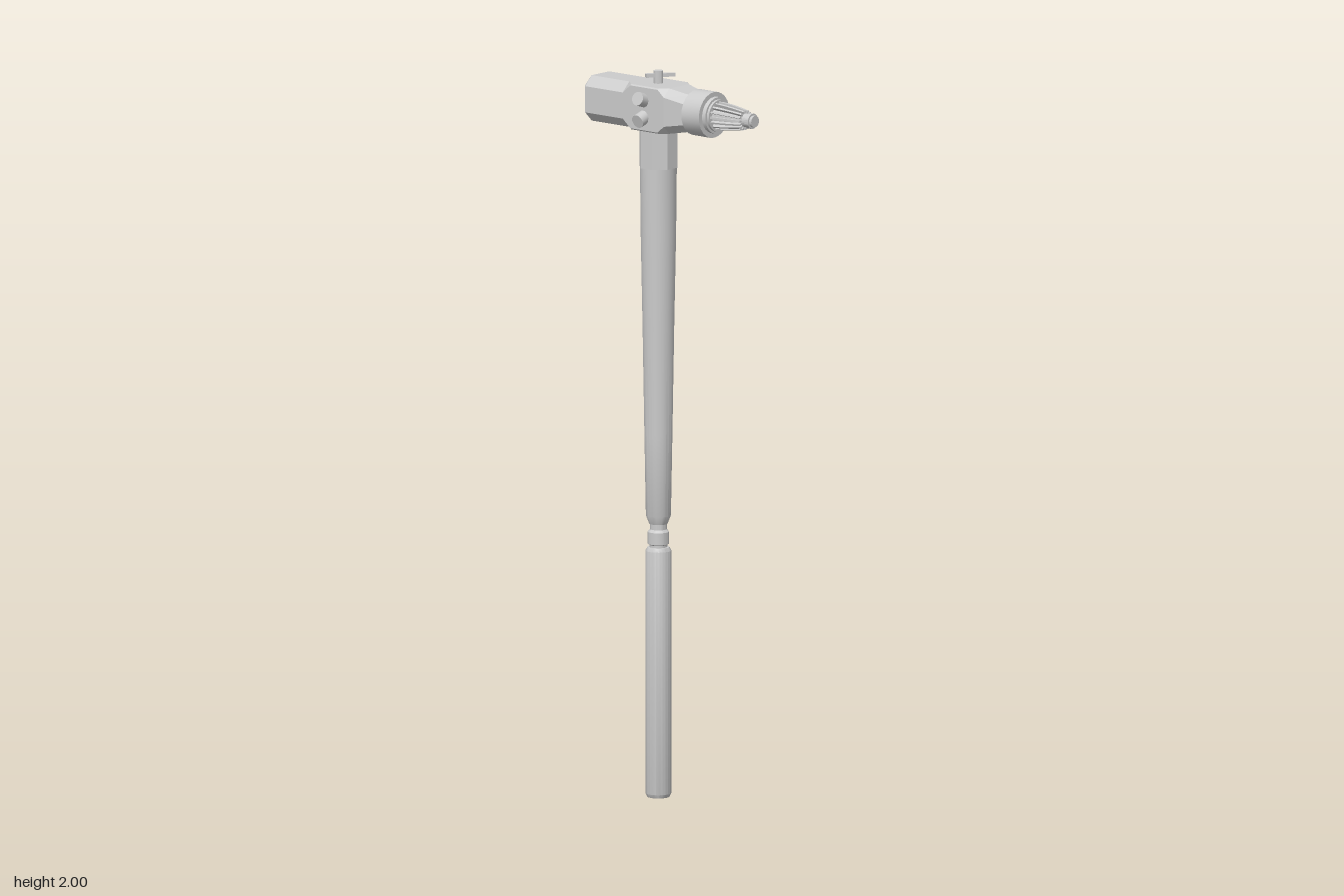
import * as THREE from 'three';
import { toCreasedNormals } from 'three/addons/utils/BufferGeometryUtils.js';

const HANDLE_X = -0.052, HEAD_Y = 1.903;

export function createModel() {
  const model = new THREE.Group();
  const mat = new THREE.MeshStandardMaterial({ color: 0xcccccc });
  const flat = new THREE.MeshStandardMaterial({ color: 0xcccccc, flatShading: true });

  const add = (parent, name, geo, material = mat) => {
    const mesh = new THREE.Mesh(geo, material);
    mesh.name = name;
    parent.add(mesh);
    return mesh;
  };
  // turned part from [radius, height] pairs, with sharp steps
  const turned = (pts, sides = 24) => toCreasedNormals(
    new THREE.LatheGeometry(pts.map(p => new THREE.Vector2(...p)), sides), 0.5);

  // Handle
  const handle = new THREE.Group();
  handle.name = 'handle';
  handle.position.x = HANDLE_X;
  model.add(handle);
  add(handle, 'grip', turned([[0, 0], [0.03, 0], [0.035, 0.01], [0.035, 0.678], [0.03, 0.688], [0, 0.688]]));
  add(handle, 'neckRing', turned([[0, 0.685], [0.024, 0.685], [0.024, 0.694], [0.029, 0.697],
    [0.029, 0.73], [0.023, 0.737], [0.023, 0.765], [0, 0.765]]));
  add(handle, 'shaft', turned([[0, 0.75], [0.025, 0.752], [0.034, 0.775], [0.038, 1.0],
    [0.043, 1.3], [0.048, 1.55], [0.05, 1.74], [0, 1.74]]));
  const socket = add(handle, 'socket', new THREE.CylinderGeometry(0.054, 0.054, 0.115, 8), flat);
  socket.position.y = 1.7925;
  socket.rotation.y = Math.PI / 8;

  // Head
  const head = new THREE.Group();
  head.name = 'head';
  head.position.y = HEAD_Y;
  model.add(head);

  // chamfered square sections along x: [x, half size in y, half size in z, half width of the flats]
  const sections = [
    [-0.295, 0, 0, 0], [-0.278, 0.042, 0.042, 0.034], [-0.27, 0.042, 0.042, 0.034],
    [-0.27, 0.052, 0.052, 0.034], [-0.26, 0.0625, 0.063, 0.036], [-0.125, 0.0625, 0.063, 0.036],
    [-0.098, 0.0625, 0.063, 0.059], [0, 0.0625, 0.063, 0.059], [0.022, 0.0625, 0.063, 0.04],
    [0.09, 0.05, 0.054, 0.028], [0.09, 0, 0, 0],
  ];
  const pos = [], index = [];
  for (const [x, h, w, f] of sections) {
    for (const [y, z] of [[h, -f], [h, f], [f, w], [-f, w], [-h, f], [-h, -f], [-f, -w], [f, -w]]) pos.push(x, y, z);
  }
  for (let s = 0; s < sections.length - 1; s++) {
    for (let k = 0; k < 8; k++) {
      const a = s * 8 + k, b = s * 8 + (k + 1) % 8;
      index.push(a, b, a + 8, b, b + 8, a + 8);
    }
  }
  const body = new THREE.BufferGeometry();
  body.setAttribute('position', new THREE.Float32BufferAttribute(pos, 3));
  body.setIndex(index);
  body.computeVertexNormals();
  add(head, 'headBody', body, flat);

  // Nose, turned about the x axis
  const alongX = pts => turned(pts).rotateZ(-Math.PI / 2);
  add(head, 'noseCollar', alongX([[0, 0.085], [0.063, 0.085], [0.063, 0.148], [0.05, 0.148],
    [0.05, 0.16], [0.044, 0.16], [0.044, 0.167], [0, 0.167]]));
  add(head, 'noseCore', alongX([[0, 0.16], [0.031, 0.16], [0.026, 0.215], [0.019, 0.262], [0.018, 0.275],
    [0.021, 0.275], [0.021, 0.287], [0.016, 0.287], [0.016, 0.295], [0, 0.295]]));

  // Ribs around the nose
  const ribShape = new THREE.Shape();
  ribShape.moveTo(0.164, 0.028);
  ribShape.lineTo(0.164, 0.039);
  ribShape.quadraticCurveTo(0.22, 0.036, 0.262, 0.027);
  ribShape.lineTo(0.262, 0.017);
  const ribGeo = new THREE.ExtrudeGeometry(ribShape, { depth: 0.005, bevelEnabled: false, curveSegments: 5 });
  ribGeo.translate(0, 0, -0.0025);
  for (let i = 0; i < 16; i++) add(head, 'noseRib', ribGeo, flat).rotation.x = i * Math.PI / 8;

  // Pairs of splayed pegs on both sides
  const pegGeo = new THREE.CylinderGeometry(0.019, 0.019, 0.05, 20);
  for (const side of [1, -1]) {
    for (const up of [1, -1]) {
      const peg = add(head, 'sidePeg', pegGeo);
      const dir = new THREE.Vector3(0, up * 0.32, side).normalize();
      peg.quaternion.setFromUnitVectors(new THREE.Vector3(0, 1, 0), dir);
      peg.position.set(HANDLE_X, up * 0.024, side * 0.062);
    }
  }

  // Top pin with a slanted key
  const pin = new THREE.Group();
  pin.name = 'topPin';
  pin.position.set(HANDLE_X, 0.06, 0);
  pin.rotation.y = 0.93;
  head.add(pin);
  add(pin, 'pinPost', turned([[0, 0], [0.013, 0], [0.013, 0.037], [0, 0.037]], 16));
  const keyGeo = new THREE.BoxGeometry(0.082, 0.01, 0.014);
  const p = keyGeo.attributes.position;
  for (let i = 0; i < p.count; i++) if (p.getX(i) > 0) p.setZ(i, p.getZ(i) * 0.5);
  add(pin, 'pinKey', keyGeo, flat).position.set(0.006, 0.024, 0);

  return model;
}
